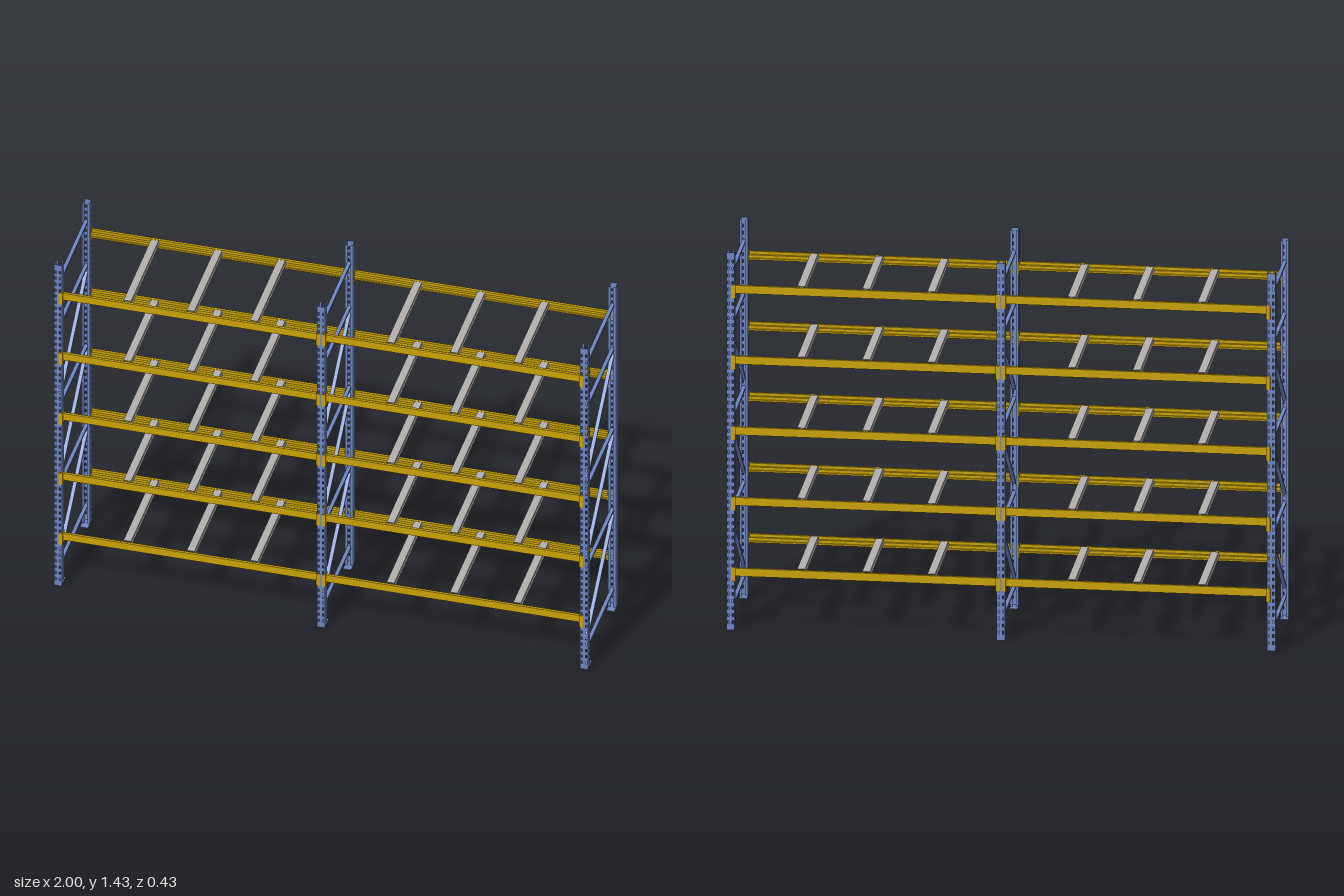
import * as THREE from 'three';

const blue = new THREE.MeshStandardMaterial({ name: 'frame blue', color: 0x6d86c0 });
const yellow = new THREE.MeshStandardMaterial({ name: 'beam yellow', color: 0xc8a205 });
const grey = new THREE.MeshStandardMaterial({ name: 'steel grey', color: 0xb2b0ae });

const H = 1.435;            // upright height
const FRAMES = [-0.985, 0, 0.985];
const LEVELS = [0.235, 0.504, 0.772, 1.041, 1.31];
const SHEET = 0.002;        // sheet metal thickness
const PITCH = 0.0269;       // hole spacing

function add(parent, name, geometry, material, x = 0, y = 0, z = 0) {
  const mesh = new THREE.Mesh(geometry, material);
  mesh.name = name;
  mesh.position.set(x, y, z);
  parent.add(mesh);
  return mesh;
}

function polygon(points) {
  return new THREE.Shape(points.map(([x, y]) => new THREE.Vector2(x, y)));
}

function rect(x, y, w, h) {
  return [[x - w / 2, y - h / 2], [x + w / 2, y - h / 2], [x + w / 2, y + h / 2], [x - w / 2, y + h / 2]];
}

function extrude(shape, depth) {
  return new THREE.ExtrudeGeometry(shape, { depth, bevelEnabled: false });
}

// Upright sheet with regular columns of punched slots
function punchedWall(width, columns, holeW, holeH) {
  const shape = polygon(rect(0, H / 2, width, H));
  for (let y = 0.03; y < H - 0.015; y += PITCH)
    for (const x of columns) shape.holes.push(polygon(rect(x, y, holeW, holeH)));
  return extrude(shape, SHEET);
}

const frontWall = punchedWall(0.03, [-0.008, 0.008], 0.005, 0.012);
const sideWall = punchedWall(0.028, [0], 0.0035, 0.007).rotateY(Math.PI / 2);
const lip = new THREE.BoxGeometry(0.007, H, SHEET);
const footPlate = new THREE.BoxGeometry(0.03, 0.003, 0.05);

// Open channel post, its face towards +z
function createUpright() {
  const g = new THREE.Group();
  g.name = 'upright';
  add(g, 'punchedFace', frontWall, blue, 0, 0, 0.208);
  for (const s of [-1, 1]) {
    add(g, 'punchedSide', sideWall, blue, s * 0.014 - SHEET / 2, 0, 0.194);
    add(g, 'returnLip', lip, blue, s * 0.0095, H / 2, 0.181);
  }
  add(g, 'footPlate', footPlate, blue, 0, 0.0015, 0.18);
  return g;
}

// Brace between two (z, y) points
function addBrace(g, name, z0, y0, z1, y1) {
  const length = Math.hypot(z1 - z0, y1 - y0);
  const mesh = add(g, name, new THREE.BoxGeometry(0.014, 0.009, length), blue, 0, (y0 + y1) / 2, (z0 + z1) / 2);
  mesh.rotation.x = -Math.atan2(y1 - y0, z1 - z0);
}

function createFrame() {
  const g = new THREE.Group();
  g.name = 'uprightFrame';
  const front = createUpright();
  const back = createUpright();
  back.rotation.y = Math.PI;
  g.add(front, back);
  for (const y of [0.08, 0.437, 0.795, 1.155, 1.352]) addBrace(g, 'horizontalBrace', -0.19, y, 0.19, y);
  for (const y of [0.115, 0.472, 0.83]) addBrace(g, 'diagonalBrace', 0.185, y, -0.185, y + 0.298);
  return g;
}

// Stepped beam section, x is -z of the finished beam, y measured from its top
const BEAM = 0.949;
const beamGeometry = extrude(polygon([
  [-0.207, -0.03], [-0.187, -0.03], [-0.187, -0.024], [-0.19, -0.023], [-0.19, -0.019],
  [-0.187, -0.018], [-0.187, -0.011], [-0.197, -0.011], [-0.197, 0], [-0.207, 0],
]), BEAM).rotateY(Math.PI / 2).translate(-BEAM / 2, 0, 0);
const hookFace = new THREE.BoxGeometry(0.014, 0.052, 0.0025);
const hookSide = new THREE.BoxGeometry(0.0025, 0.052, 0.027);

// Beam with an angled hook plate at each end
function createBeam() {
  const g = new THREE.Group();
  g.name = 'beam';
  add(g, 'beamRail', beamGeometry, yellow);
  for (const s of [-1, 1]) {
    add(g, 'hookFace', hookFace, yellow, s * 0.4825, -0.022, 0.2118);
    add(g, 'hookSide', hookSide, yellow, s * 0.4755, -0.022, 0.1995);
  }
  return g;
}

// Support bar: channel open at the bottom with small outward flanges
const barGeometry = extrude(polygon([
  [-0.018, -0.011], [-0.012, -0.011], [-0.012, 0], [0.012, 0], [0.012, -0.011], [0.018, -0.011],
  [0.018, -0.009], [0.014, -0.009], [0.014, 0.002], [-0.014, 0.002], [-0.014, -0.009], [-0.018, -0.009],
]), 0.386).translate(0, 0, -0.193);

function createLevel() {
  const g = new THREE.Group();
  g.name = 'shelfLevel';
  const front = createBeam();
  const back = createBeam();
  back.rotation.y = Math.PI;
  g.add(front, back);
  for (const x of [-0.237, 0, 0.237]) add(g, 'supportBar', barGeometry, grey, x);
  return g;
}

export function createModel() {
  const model = new THREE.Group();
  model.name = 'palletRack';
  for (const x of FRAMES) {
    const frame = createFrame();
    frame.position.x = x;
    model.add(frame);
  }
  for (const x of [-0.4925, 0.4925])
    for (const y of LEVELS) {
      const level = createLevel();
      level.position.set(x, y, 0);
      model.add(level);
    }
  return model;
}
